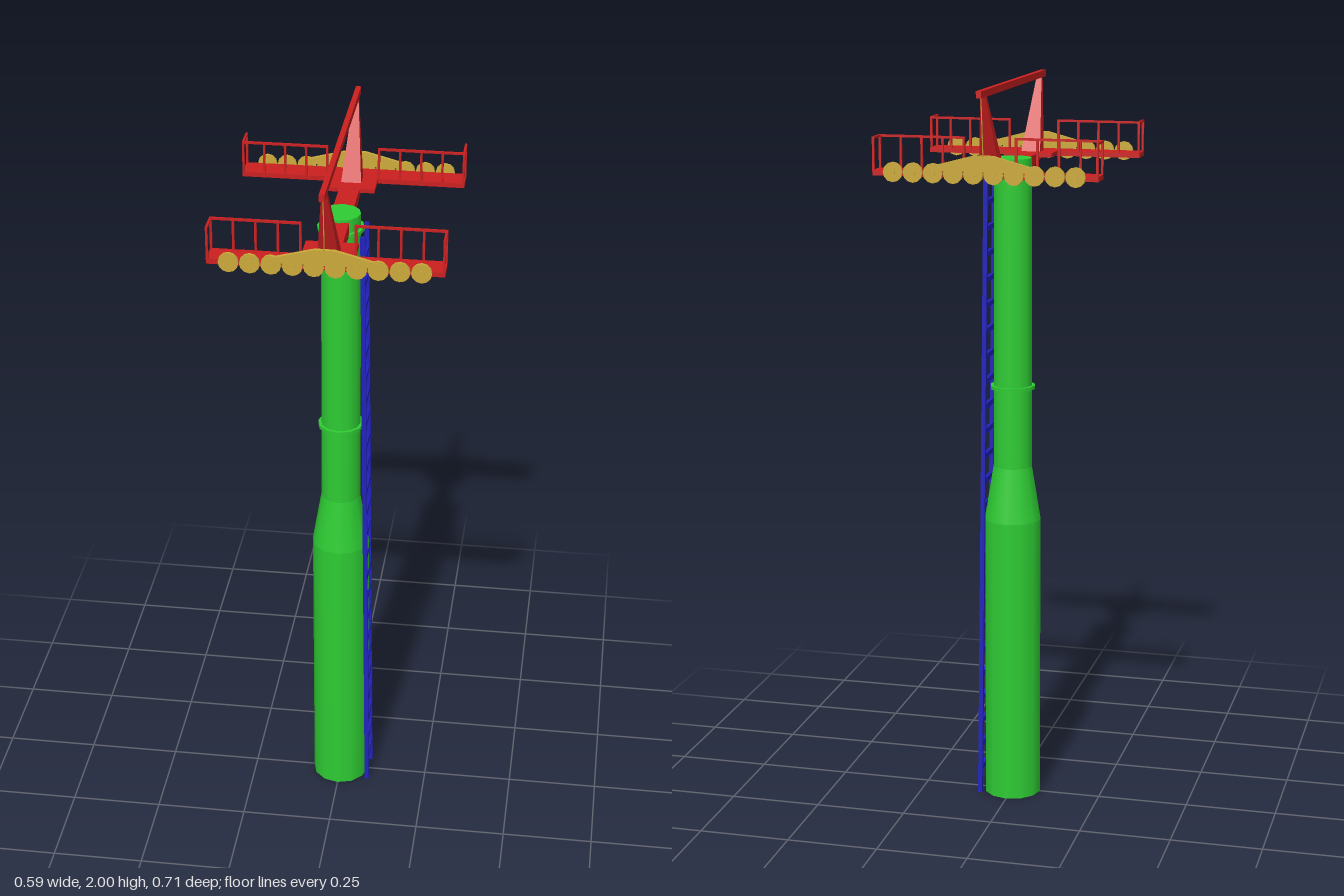
import * as THREE from 'three';

const mat = (color) => new THREE.MeshStandardMaterial({ color });

export function createModel() {
  const green = mat(0x2ecc33), red = mat(0xcc1f1f), yellow = mat(0xccaa3a), blue = mat(0x2222bb);
  const root = new THREE.Group();

  const add = (parent, name, geometry, material) => {
    const mesh = new THREE.Mesh(geometry, material);
    mesh.name = name;
    parent.add(mesh);
    return mesh;
  };
  // Box given by its limits on each axis
  const box = (parent, name, material, x0, x1, y0, y1, z0, z1) => {
    const mesh = add(parent, name, new THREE.BoxGeometry(x1 - x0, y1 - y0, z1 - z0), material);
    mesh.position.set((x0 + x1) / 2, (y0 + y1) / 2, (z0 + z1) / 2);
    return mesh;
  };
  // Box whose corners are moved by a rule on (-1 or 1) coordinates
  const warpedBox = (parent, name, material, rule) => {
    const g = new THREE.BoxGeometry(2, 2, 2), p = g.attributes.position;
    for (let i = 0; i < p.count; i++) p.setXYZ(i, ...rule(p.getX(i), p.getY(i), p.getZ(i)));
    g.computeVertexNormals();
    return add(parent, name, g, material);
  };
  // Round rod between two points
  const rod = (parent, name, material, a, b, r, sides = 6) => {
    const from = new THREE.Vector3(...a), dir = new THREE.Vector3(...b).sub(from);
    const mesh = add(parent, name, new THREE.CylinderGeometry(r, r, dir.length(), sides), material);
    mesh.position.copy(from).addScaledVector(dir, 0.5);
    mesh.quaternion.setFromUnitVectors(new THREE.Vector3(0, 1, 0), dir.normalize());
    return mesh;
  };

  // Column: wide foot, taper, slim shaft and two flanges
  const column = new THREE.Group();
  column.name = 'column';
  root.add(column);
  const section = (name, r0, r1, y0, y1) => {
    add(column, name, new THREE.CylinderGeometry(r1, r0, y1 - y0, 12), green).position.y = (y0 + y1) / 2;
  };
  section('lowerColumn', 0.079, 0.079, 0, 0.8);
  section('columnTaper', 0.079, 0.054, 0.8, 0.95);
  section('upperColumn', 0.054, 0.052, 0.95, 1.795);
  section('middleFlange', 0.062, 0.062, 1.167, 1.177);
  section('topFlange', 0.062, 0.062, 1.748, 1.758);

  // Ladder leaning against the left side
  const ladder = new THREE.Group();
  ladder.name = 'ladder';
  root.add(ladder);
  const ladderX = (y) => 0.083 - 0.021 * y / 1.75;
  for (const s of [-1, 1]) {
    warpedBox(ladder, 'ladderRail', blue, (x, y, z) => {
      const h = y > 0 ? 1.75 : 0;
      return [ladderX(h) + x * 0.006, h, s * 0.046 + z * 0.005];
    });
  }
  for (let i = 0; i < 24; i++) {
    const y = 0.073 + i * 0.0698, x = ladderX(y);
    box(ladder, 'ladderRung', blue, x - 0.005, x + 0.005, y - 0.007, y + 0.007, -0.046, 0.046);
  }

  // One half of the head; the other is the same turned half round
  const half = new THREE.Group();
  half.name = 'headHalf';
  warpedBox(half, 'crossArm', red, (x, y, z) =>
    [x * 0.027, y > 0 ? 1.788 : z > 0 ? 1.774 : 1.748, z > 0 ? 0.25 : 0.035]);
  box(half, 'accessPlatform', red, -0.067, 0.067, 1.778, 1.789, 0.165, 0.24);
  box(half, 'workPlatform', red, -0.297, 0.297, 1.775, 1.788, 0.237, 0.301);
  warpedBox(half, 'upright', red, (x, y, z) => y > 0
    ? [x * 0.007, 1.985, 0.306 + z * 0.007]
    : [x * 0.027, 1.785, 0.222 + z * 0.022]);
  rod(half, 'hangerCable', yellow, [0, 1.985, 0.33], [0, 1.79, 0.306], 0.0015);

  // Railings along the inner edge and at both ends
  const railY = 1.874;
  for (const s of [-1, 1]) {
    const rail = new THREE.Group();
    rail.name = 'railing';
    half.add(rail);
    for (let i = 0; i < 5; i++) {
      const x = s * (0.294 - i * 0.0562);
      box(rail, 'railPost', red, x - 0.003, x + 0.003, 1.785, railY, 0.238, 0.244);
    }
    const x = s * 0.294;
    box(rail, 'endPost', red, x - 0.003, x + 0.003, 1.785, railY, 0.296, 0.302);
    box(rail, 'endRail', red, x - 0.003, x + 0.003, railY - 0.006, railY, 0.238, 0.302);
    box(rail, 'topRail', red, Math.min(s * 0.066, s * 0.297), Math.max(s * 0.066, s * 0.297),
      railY - 0.006, railY, 0.238, 0.244);
  }

  // Row of cable wheels hung from a rocker beam
  const wheels = new THREE.Group();
  wheels.name = 'wheelTrain';
  half.add(wheels);
  for (let i = 0; i < 10; i++) {
    const wheel = add(wheels, 'cableWheel', new THREE.CylinderGeometry(0.026, 0.026, 0.008, 12), yellow);
    wheel.rotation.x = Math.PI / 2;
    wheel.position.set(-0.24 + i * 0.0533, 1.786, 0.307);
    const hub = add(wheels, 'wheelHub', new THREE.CylinderGeometry(0.007, 0.007, 0.012, 8), yellow);
    hub.rotation.x = Math.PI / 2;
    hub.position.copy(wheel.position);
  }
  const beam = new THREE.Shape([[-0.15, 1.793], [0.15, 1.793], [0.15, 1.801], [0.025, 1.834],
    [-0.025, 1.834], [-0.15, 1.801]].map((p) => new THREE.Vector2(...p)));
  add(wheels, 'rockerBeam', new THREE.ExtrudeGeometry(beam, { depth: 0.01, bevelEnabled: false }), yellow)
    .position.z = 0.302;

  const other = half.clone();
  other.rotation.y = Math.PI;
  root.add(half, other);

  // Beam joining the two uprights
  box(root, 'topBeam', red, -0.007, 0.007, 1.982, 2, -0.353, 0.353);
  return root;
}
